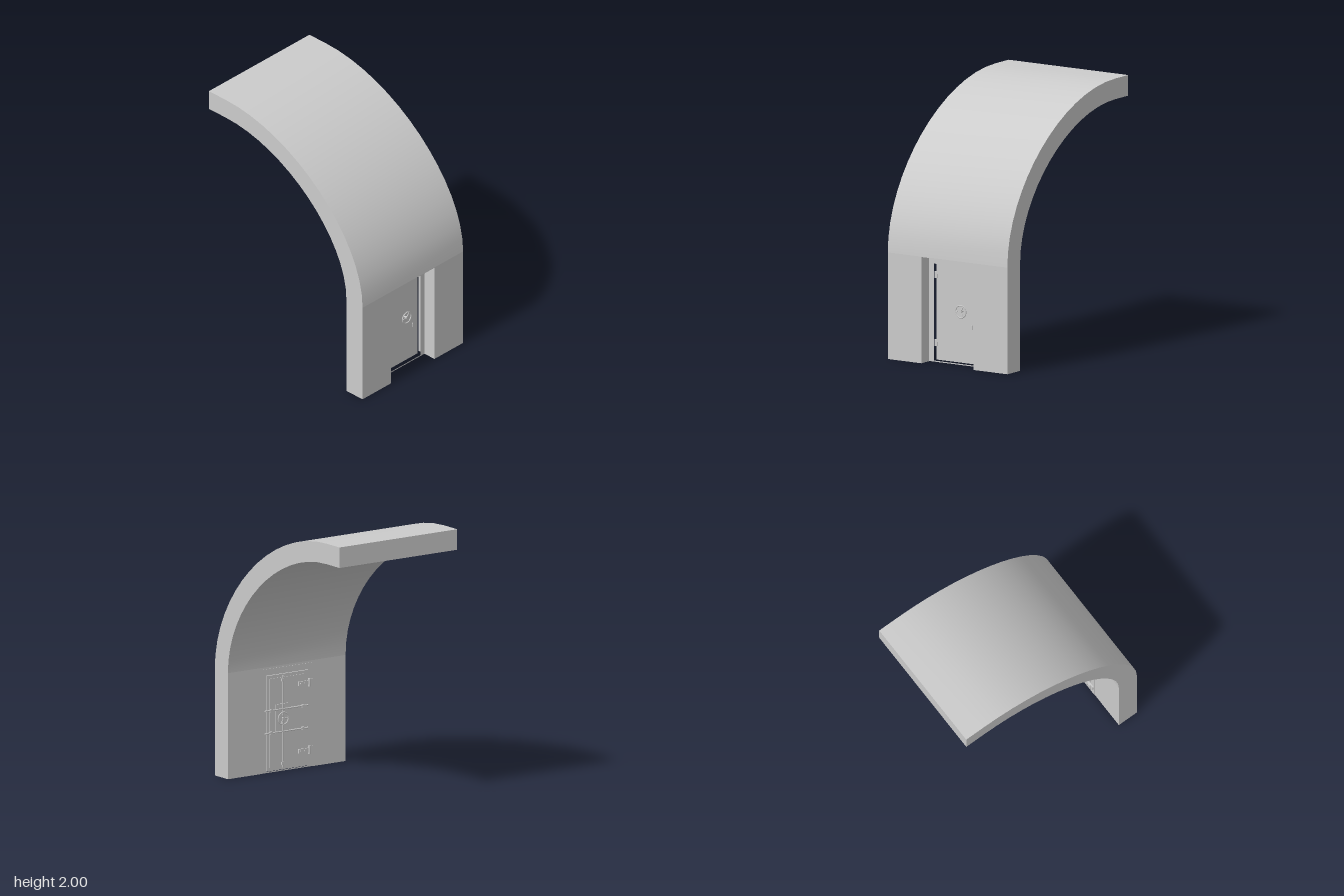
import * as THREE from 'three';
import { toCreasedNormals } from 'three/addons/utils/BufferGeometryUtils.js';

const DEPTH = 1.07; // length of the vault along z
const INNER = 0.62, OUTER = 0.785; // wall faces in x
const SPRING = 0.8; // height where the vault starts to curve

export function createModel() {
  const model = new THREE.Group();
  const material = new THREE.MeshStandardMaterial({ color: 0xcccccc });

  const add = (name, geometry, parent = model) => {
    const mesh = new THREE.Mesh(geometry, material);
    mesh.name = name;
    parent.add(mesh);
    return mesh;
  };
  // box given by its limits on each axis
  const box = (name, x0, x1, y0, y1, z0, z1, parent) =>
    add(name, new THREE.BoxGeometry(x1 - x0, y1 - y0, z1 - z0)
      .translate((x0 + x1) / 2, (y0 + y1) / 2, (z0 + z1) / 2), parent);
  // round bar between two points
  const rod = (name, a, b, radius, parent) => {
    const from = new THREE.Vector3(...a), to = new THREE.Vector3(...b);
    const dir = to.clone().sub(from);
    const mesh = add(name, toCreasedNormals(
      new THREE.CylinderGeometry(radius, radius, dir.length(), 12), 0.7), parent);
    mesh.position.copy(from).add(to).multiplyScalar(0.5);
    mesh.quaternion.setFromUnitVectors(new THREE.Vector3(0, 1, 0), dir.normalize());
    return mesh;
  };
  // outline drawn in the z-y plane (given as [z, y]), extruded along +x from x0 to x1
  const alongX = (points, x0, x1, hole) => {
    const toV = ([z, y]) => new THREE.Vector2(-z, y);
    const shape = new THREE.Shape(points.map(toV));
    if (hole) shape.holes.push(new THREE.Path(hole.map(toV)));
    return new THREE.ExtrudeGeometry(shape, { depth: x1 - x0, bevelEnabled: false })
      .rotateY(Math.PI / 2).translate(x0, 0, 0);
  };
  const rect = (z0, z1, y0, y1) => [[z0, y0], [z1, y0], [z1, y1], [z0, y1]];

  // Curved vault above the wall
  const vault = new THREE.Shape();
  vault.moveTo(OUTER, SPRING);
  vault.bezierCurveTo(OUTER, 1.39, 0.083, 2, -0.62, 2);
  vault.lineTo(-0.785, 2);
  vault.lineTo(-0.785, 1.845);
  vault.lineTo(-0.62, 1.845);
  vault.bezierCurveTo(0, 1.845, INNER, 1.312, INNER, SPRING);
  add('vault', toCreasedNormals(
    new THREE.ExtrudeGeometry(vault, { depth: DEPTH, bevelEnabled: false, curveSegments: 16 })
      .translate(0, 0, -DEPTH / 2), 0.5));

  // Straight wall with the doorway; the lintel drops slightly towards the inside
  const h = DEPTH / 2;
  const wall = alongX([[-h, 0], [-0.23, 0], [-0.23, 0.797], [0.235, 0.797], [0.235, 0],
    [h, 0], [h, SPRING], [-h, SPRING]], INNER, OUTER);
  const p = wall.attributes.position;
  for (let i = 0; i < p.count; i++) {
    if (Math.abs(p.getY(i) - 0.797) < 0.001 && p.getX(i) < 0.7) p.setY(i, 0.777);
  }
  wall.computeVertexNormals();
  add('wall', wall);

  // Door frame and slab
  add('doorFrame', alongX(rect(-0.23, 0.235, 0.002, 0.785), 0.617, 0.685,
    rect(-0.187, 0.192, 0.01, 0.737)));
  const door = new THREE.Group();
  door.name = 'door';
  model.add(door);
  box('doorSlab', 0.615, 0.655, 0.013, 0.734, -0.184, 0.189, door);
  add('doorTrim', alongX(rect(-0.165, 0.16, 0.04, 0.71), 0.611, 0.616,
    rect(-0.153, 0.148, 0.052, 0.698)), door);

  // Locking plate, sliding bars and their guides on the inside
  add('lockPlate', alongX(rect(-0.11, 0.02, 0.29, 0.51), 0.608, 0.616), door);
  for (const y of [0.3, 0.47]) {
    rod('lockingBar', [0.61, y, -0.205], [0.61, y, 0.185], 0.006, door);
    for (const z of [-0.15, 0.14]) {
      box('barGuide', 0.602, 0.616, y - 0.012, y + 0.012, z - 0.01, z + 0.01, door);
    }
  }
  rod('lockingBar', [0.61, 0.03, -0.045], [0.61, 0.72, -0.045], 0.006, door);
  for (const y of [0.06, 0.69]) {
    box('barGuide', 0.602, 0.616, y - 0.01, y + 0.01, -0.057, -0.033, door);
  }

  // Hand wheels on both faces
  const wheel = (name, x, doorX) => {
    const group = new THREE.Group();
    group.name = name;
    group.position.set(x, 0.4, -0.045);
    door.add(group);
    add('rim', new THREE.TorusGeometry(0.046, 0.0045, 8, 32).rotateY(Math.PI / 2), group);
    for (let i = 0; i < 3; i++) {
      const a = Math.PI * (1 / 3 + i * 2 / 3);
      rod('spoke', [0, 0, 0], [0, 0.046 * Math.sin(a), -0.046 * Math.cos(a)], 0.0035, group);
    }
    rod('hub', [-0.005, 0, 0], [0.005, 0, 0], 0.011, group);
    rod('shaft', [0, 0, 0], [doorX - x, 0, 0], 0.007, group);
  };
  wheel('innerWheel', 0.6, 0.616);
  wheel('outerWheel', 0.68, 0.654);

  // Keyhole cover outside
  box('keyholeCover', 0.654, 0.662, 0.27, 0.305, -0.134, -0.127, door);

  // Hinges: strap on the door, knuckle on the pin, plate on the frame
  for (const y of [0.13, 0.64]) {
    const hinge = new THREE.Group();
    hinge.name = 'hinge';
    model.add(hinge);
    box('strap', 0.604, 0.616, y - 0.016, y + 0.016, 0.1, 0.195, hinge);
    rod('knuckle', [0.606, y - 0.03, 0.195], [0.606, y + 0.03, 0.195], 0.011, hinge);
    box('framePlate', 0.608, 0.618, y - 0.025, y + 0.025, 0.195, 0.23, hinge);
    for (const z of [0.115, 0.15]) {
      rod('bolt', [0.598, y, z], [0.606, y, z], 0.006, hinge);
    }
    box('outerHingeTab', 0.655, 0.66, y - 0.015, y + 0.015, 0.18, 0.189, hinge);
  }
  return model;
}
